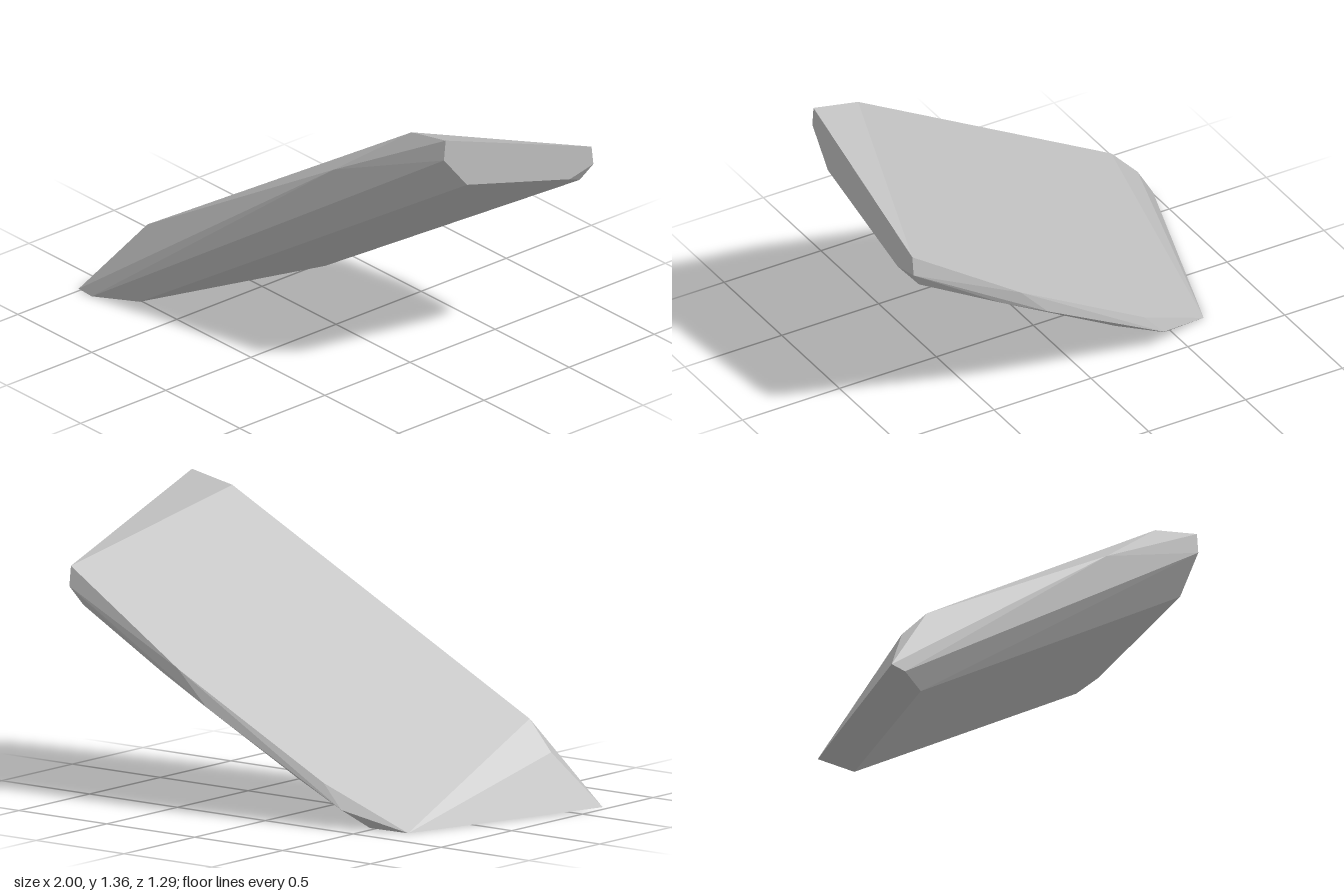
import * as THREE from 'three';
import { ConvexGeometry } from 'three/addons/geometries/ConvexGeometry.js';

export function createModel() {
  const stone = new THREE.MeshStandardMaterial({ color: 0xbcbcbc });
  stone.name = 'stone grey';

  // Corners of the chipped, leaning slab, grouped by the side they bound
  const highEnd = [
    [1, 1.36, 0.225], [1, 1.265, 0.235], [1, 1.1, 0.1],
    [1, 0.93, -0.505], [1, 0.96, -0.643], [1, 1.05, -0.632],
  ];
  const foot = [
    [-1, 0.01, 0.643], [-0.92, 0, 0.635], [-0.74, 0, 0.51],
    [-0.47, 0, -0.345], [-0.68, 0, -0.335],
  ];
  const upperFront = [
    [-0.83, 0.26, 0.49], [-0.7, 0.395, 0.5], [0.4, 1.035, 0.36], [0.77, 1.315, 0.225],
  ];
  const back = [
    [-0.4, 0.09, -0.46], [-0.3, 0.2, -0.46], [-0.15, 0.205, -0.46],
    [0.27, 0.49, -0.58], [0.42, 0.65, -0.597], [0.51, 0.62, -0.59], [0.95, 0.875, -0.605],
  ];

  // The flat facets are the hull of those corners
  const corners = [...highEnd, ...foot, ...upperFront, ...back]
    .map((p) => new THREE.Vector3(...p));
  const slab = new THREE.Mesh(new ConvexGeometry(corners), stone);
  slab.name = 'rockSlab';

  const group = new THREE.Group();
  group.name = 'rock';
  group.add(slab);
  return group;
}
